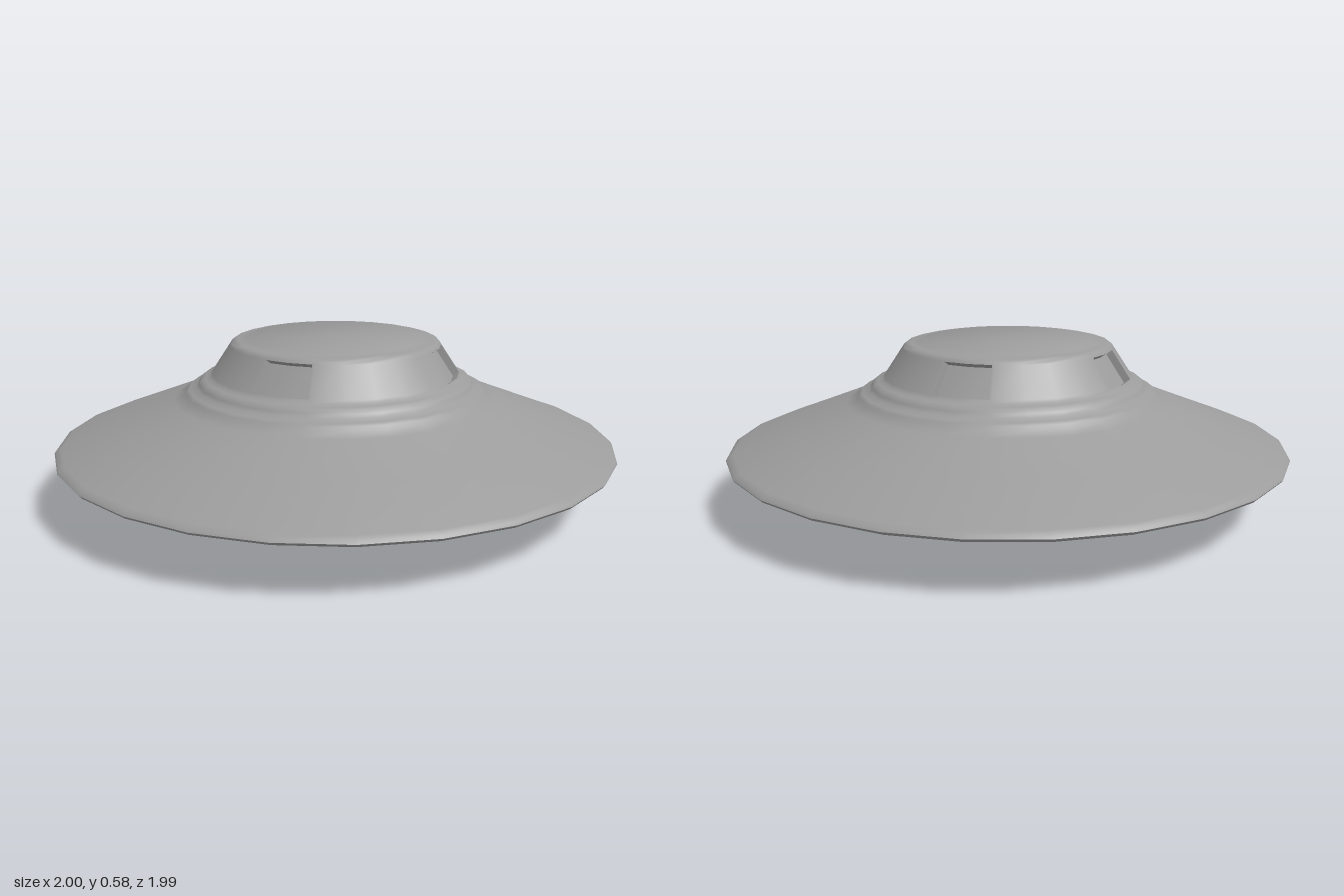
import * as THREE from 'three';
import { mergeGeometries, toCreasedNormals } from 'three/addons/utils/BufferGeometryUtils.js';

const SIDES = 26;
const STEP = (Math.PI * 2) / SIDES;
const range = (a, b) => Array.from({ length: b - a + 1 }, (_, i) => a + i);

// Turns a [radius, y] profile (inside bottom to top) through angles given in
// facets; fractional angles stay on the flat facets. Caps close both ends.
function sweep(profile, angles, caps = false) {
  const pos = [], idx = [], n = profile.length;
  for (const k of angles) {
    const k0 = Math.floor(k), f = k - k0;
    const c = THREE.MathUtils.lerp(Math.cos(k0 * STEP), Math.cos((k0 + 1) * STEP), f);
    const s = THREE.MathUtils.lerp(Math.sin(k0 * STEP), Math.sin((k0 + 1) * STEP), f);
    for (const [r, y] of profile) pos.push(r * c, y, r * s);
  }
  for (let i = 0; i < angles.length - 1; i++) {
    for (let j = 0; j < n - 1; j++) {
      const a = i * n + j, b = a + n;
      idx.push(a, a + 1, b, b, a + 1, b + 1);
    }
  }
  if (caps) {
    const e = (angles.length - 1) * n;
    idx.push(0, 3, 2, 0, 2, 1, e, e + 2, e + 3, e, e + 1, e + 2);
  }
  const g = new THREE.BufferGeometry();
  g.setAttribute('position', new THREE.Float32BufferAttribute(pos, 3));
  g.setIndex(idx);
  return g;
}

export function createModel() {
  const group = new THREE.Group();
  const material = new THREE.MeshStandardMaterial({ color: 0x9c9c9c });
  const add = (name, geometry, crease) => {
    const mesh = new THREE.Mesh(toCreasedNormals(geometry, crease), material);
    mesh.name = name;
    group.add(mesh);
  };

  const sill = [0.443, 0.455], head = [0.377, 0.555];
  const full = range(0, SIDES);

  // Recessed underside, foot ring, wide disc and stepped collar
  const lower = [
    [0, 0.07], [0.29, 0.07], [0.305, 0.03], [0.325, 0.01], [0.345, 0], [0.365, 0.001], [0.38, 0.01],
    [0.4, 0.028], [0.43, 0.034], [0.55, 0.04], [0.57, 0.052], [0.595, 0.073], [0.63, 0.089],
    [0.71, 0.11], [0.83, 0.14], [0.975, 0.178], [0.993, 0.186], [1, 0.195], [0.994, 0.204], [0.975, 0.213],
    [0.79, 0.284], [0.58, 0.366], [0.544, 0.383], [0.538, 0.394], [0.525, 0.402],
    [0.499, 0.409], [0.491, 0.421], [0.483, 0.433], [0.468, 0.439], [0.451, 0.445], sill,
  ];
  // Rounded roof edge and slightly raised roof disc
  const roof = [head, [0.373, 0.562], [0.364, 0.569], [0.348, 0.573], [0.315, 0.575], [0.308, 0.58], [0, 0.58]];

  // Cabin wall pieces between the four windows
  const windows = [6, 13, 19, 25];
  const half = 0.93;
  const walls = windows.map((c, i) => {
    const next = i < 3 ? windows[i + 1] : windows[0] + SIDES;
    return sweep([sill, head], [c + half, ...range(c + 1, next - 1), next - half]);
  });
  add('saucerHull', mergeGeometries([sweep(lower, full), ...walls, sweep(roof, full)]), 1.05);

  // Recessed windows
  const inset = ([r, y]) => [r - 0.021, y - 0.014];
  for (const c of windows) {
    add('window', sweep([sill, inset(sill), inset(head), head], [c - half, c, c + half], true), 0.5);
  }
  return group;
}
